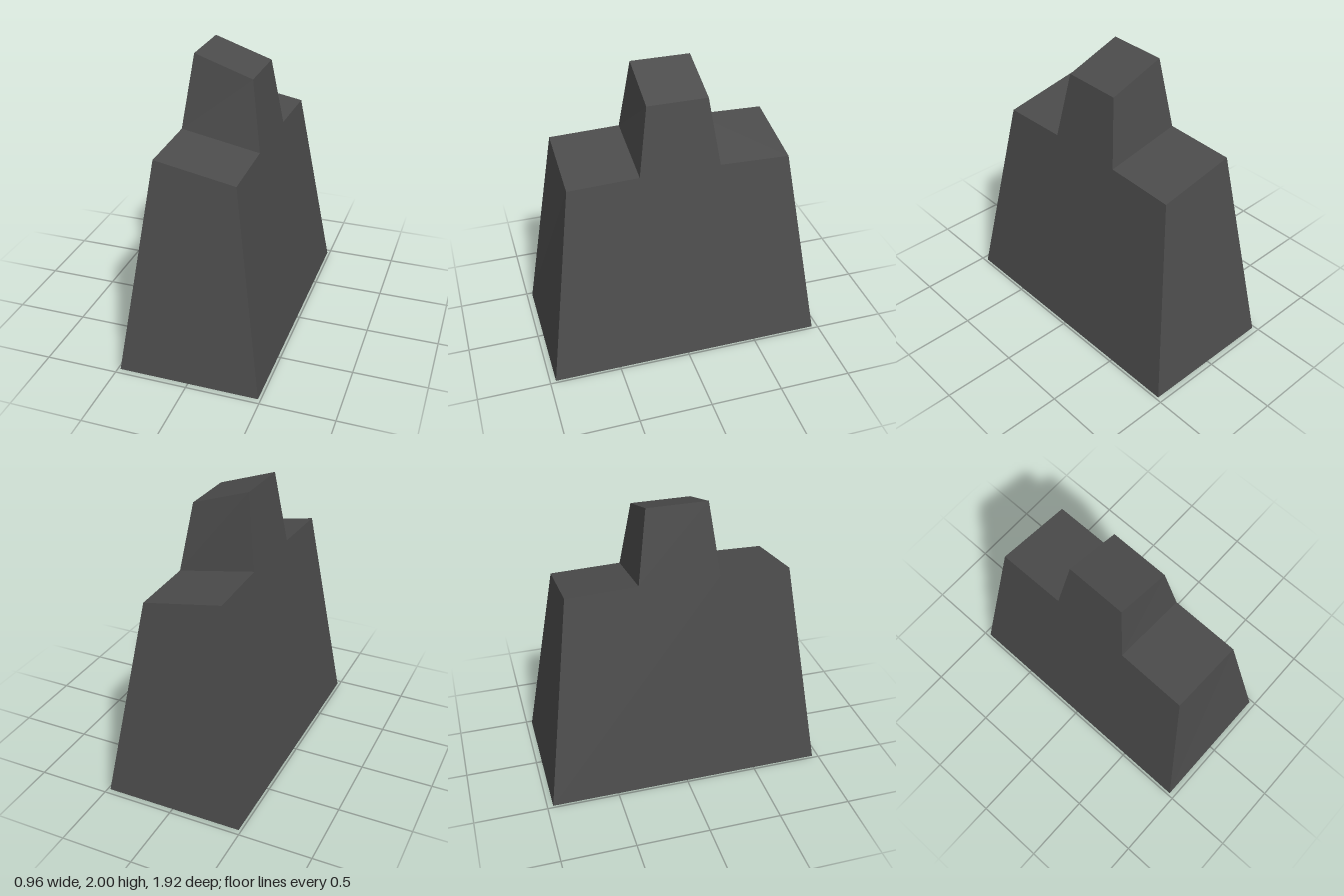
import * as THREE from 'three';

export function createModel() {
  const group = new THREE.Group();
  group.name = 'steppedBlock';
  const stone = new THREE.MeshStandardMaterial({ color: 0x4c4c4c });
  stone.name = 'dark grey';

  // Stepped side outline: half of it, mirrored about the middle
  const half = [[0.96, 0], [0.755, 1.485], [0.275, 1.5], [0.205, 2]];
  const mirrored = half.map(([z, y]) => [-z, y]).reverse();
  const outline = [...half, ...mirrored].map(([z, y]) => new THREE.Vector2(z, y));
  const geometry = new THREE.ExtrudeGeometry(new THREE.Shape(outline), { depth: 1, bevelEnabled: false });
  geometry.rotateY(Math.PI / 2);

  // Lean both sides inward with height and slope the tops down to the +x side
  const p = geometry.attributes.position;
  for (let i = 0; i < p.count; i++) {
    const y = p.getY(i);
    if (p.getX(i) < 0.5) {
      p.setX(i, -0.482 + 0.141 * y);
    } else {
      const lowered = y * 0.934;
      p.setY(i, lowered);
      p.setX(i, 0.482 - 0.155 * lowered);
    }
  }
  geometry.computeVertexNormals();

  const body = new THREE.Mesh(geometry, stone);
  body.name = 'taperedBody';
  group.add(body);
  return group;
}
